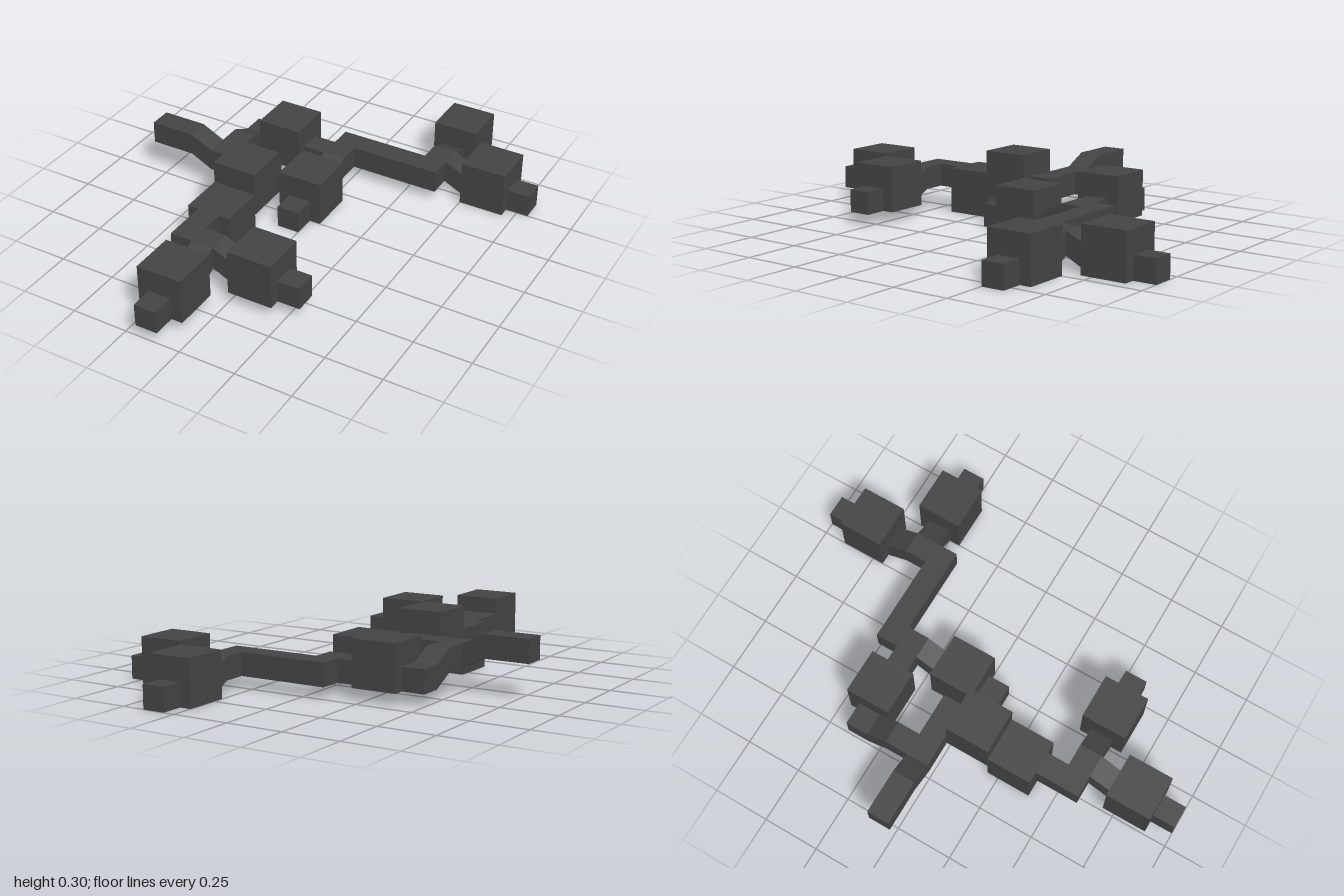
import * as THREE from 'three';

export function createModel() {
  const model = new THREE.Group();
  model.name = 'branchingBlocks';
  const charcoal = new THREE.MeshStandardMaterial({ color: 0x444444 });
  charcoal.name = 'charcoal';

  // Box from its minimum corner and size
  function block(name, x, y, z, w, h, d, bend) {
    const geo = new THREE.BoxGeometry(w, h, d);
    geo.translate(x + w / 2, y + h / 2, z + d / 2);
    if (bend) {
      const p = geo.attributes.position;
      for (let i = 0; i < p.count; i++) p.setY(i, p.getY(i) + bend(p.getX(i), p.getZ(i)));
      const flat = geo.toNonIndexed();
      flat.computeVertexNormals();
      return add(name, flat);
    }
    return add(name, geo);
  }
  function add(name, geo) {
    const mesh = new THREE.Mesh(geo, charcoal);
    mesh.name = name;
    model.add(mesh);
  }
  const T = 0.1; // bar thickness
  const cube = (name, x, y, z) => block(name, x, y, z, 0.2, 0.2, 0.2);
  const bar = (name, x, y, z, w, d) => block(name, x, y, z, w, T, d);
  // Ramp cell: y0 at the low-coordinate end, y1 at the high-coordinate end
  const rampX = (name, x, z, y0, y1) => block(name, x, y0, z, T, T, T, (px) => (y1 - y0) * (px - x) / T);
  const rampZ = (name, x, z, y0, y1) => block(name, x, y0, z, T, T, T, (px, pz) => (y1 - y0) * (pz - z) / T);

  // Central pair of cubes
  cube('upperCentreCube', -0.35, 0.1, 0);
  cube('lowerCentreCube', -0.35, 0, 0.2);

  // Front fork
  bar('frontStem', -0.3, 0.1, 0.4, 0.1, 0.2);
  bar('frontCrossbar', -0.2, 0.1, 0.5, 0.1, 0.1);
  rampX('frontSideRamp', -0.1, 0.5, 0.1, 0.05);
  cube('frontSideCube', 0, 0.05, 0.45);
  bar('frontSideTip', 0.2, 0.05, 0.5, 0.1, 0.1);
  rampZ('frontRamp', -0.2, 0.6, 0.1, 0.05);
  cube('frontCube', -0.25, 0.05, 0.7);
  bar('frontTip', -0.2, 0.05, 0.9, 0.1, 0.1);

  // Raised side arm
  bar('sideArm', -0.5, 0.1, -0.1, 0.3, 0.1);
  rampX('sideArmRamp', -0.6, -0.1, 0.15, 0.1);
  bar('sideArmEnd', -0.8, 0.15, -0.1, 0.2, 0.1);

  // Link to the middle cubes
  bar('backLink', -0.5, 0.1, -0.2, 0.1, 0.1);
  rampZ('backLinkRamp', -0.5, -0.3, 0.05, 0.1);
  bar('backLinkCorner', -0.5, 0.05, -0.4, 0.1, 0.1);
  cube('middleCube', -0.4, 0.05, -0.45);
  bar('middleBar', -0.2, 0.05, -0.4, 0.2, 0.1);
  rampZ('innerRamp', -0.1, -0.3, 0.05, 0);
  cube('innerCube', -0.15, 0, -0.2);
  bar('innerTip', -0.1, 0, 0, 0.1, 0.1);

  // Back fork
  bar('longBar', -0.1, 0.05, -0.5, 0.5, 0.1);
  bar('backStem', 0.3, 0.05, -0.6, 0.1, 0.1);
  rampX('backSideRamp', 0.4, -0.6, 0.05, 0);
  cube('backSideCube', 0.5, 0, -0.65);
  bar('backSideTip', 0.7, 0, -0.6, 0.1, 0.1);
  rampZ('backRamp', 0.3, -0.7, 0, 0.05);
  cube('backCube', 0.25, 0, -0.9);
  bar('backTip', 0.3, 0, -1, 0.1, 0.1);

  return model;
}
